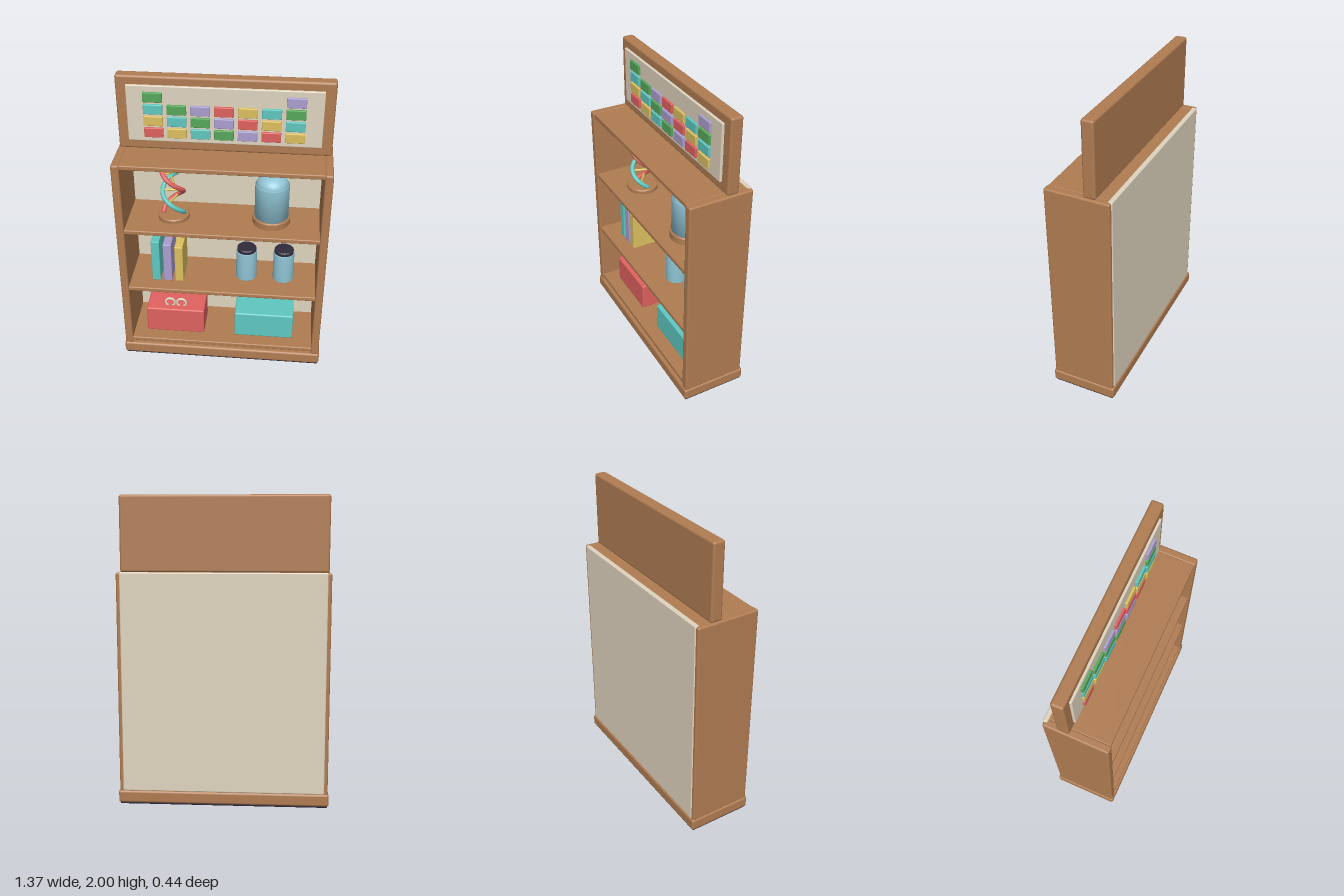
import * as THREE from 'three';
import { RoundedBoxGeometry } from 'three/addons/geometries/RoundedBoxGeometry.js';

const paint = (name, color) => {
  const m = new THREE.MeshStandardMaterial({ color });
  m.name = name;
  return m;
};

export function createModel() {
  const wood = paint('wood', 0xb07c52), cream = paint('cream', 0xe0d4bf);
  const red = paint('red', 0xe0625f), yellow = paint('yellow', 0xdcc060);
  const teal = paint('teal', 0x5fc8c0), green = paint('green', 0x57a85c);
  const purple = paint('purple', 0xab9ed0), glass = paint('pale blue', 0x90c4d4);
  const dark = paint('dark', 0x302b3c);

  const model = new THREE.Group();
  model.name = 'displayCabinet';

  const add = (name, geometry, material, parent = model) => {
    const mesh = new THREE.Mesh(geometry, material);
    mesh.name = name;
    parent.add(mesh);
    return mesh;
  };
  const group = (name, x, y, z) => {
    const g = new THREE.Group();
    g.name = name;
    g.position.set(x, y, z);
    model.add(g);
    return g;
  };
  // Rounded box given by its limits on each axis
  const block = (name, material, [x0, x1], [y0, y1], [z0, z1], r = 0.01) => {
    const mesh = add(name, new RoundedBoxGeometry(x1 - x0, y1 - y0, z1 - z0, 2, r), material);
    mesh.position.set((x0 + x1) / 2, (y0 + y1) / 2, (z0 + z1) / 2);
    return mesh;
  };
  // Round part from a profile of [radius, height] points
  const turned = (name, material, points, parent) =>
    add(name, new THREE.LatheGeometry(points.map(p => new THREE.Vector2(...p)), 32), material, parent);
  const disc = (name, material, r, h, parent) => {
    const b = 0.006;
    const mesh = add(name, new THREE.CylinderGeometry(r, r, h - b, 32), material, parent);
    mesh.position.y = (h - b) / 2;
    const rim = add(name + 'Bevel', new THREE.CylinderGeometry(r - b, r, b, 32), material, parent);
    rim.position.y = h - b / 2;
    return mesh;
  };

  // Cabinet carcass
  block('footPlate', dark, [-0.675, 0.675], [0, 0.03], [-0.21, 0.21], 0.005);
  block('plinth', wood, [-0.685, 0.685], [0.01, 0.092], [-0.22, 0.22], 0.015);
  for (const [name, s] of [['rightSide', -1], ['leftSide', 1]]) {
    const xs = [s * 0.625, s * 0.678].sort((a, b) => a - b);
    block(name, wood, xs, [0.085, 1.515], [-0.208, 0.212], 0.012);
  }
  block('backPanel', cream, [-0.655, 0.655], [0.09, 1.517], [-0.214, -0.182], 0.008);
  [0.105, 0.552, 1.01, 1.483].forEach((y, i) =>
    block('shelf' + (i + 1), wood, [-0.63, 0.63], [y, y + 0.031], [-0.19, 0.205], 0.007));

  // Header sign with coloured tiles
  block('signBoard', wood, [-0.668, 0.668], [1.512, 2], [-0.117, -0.038], 0.015);
  block('signPanel', cream, [-0.602, 0.602], [1.575, 1.945], [-0.05, -0.023], 0.006);
  const palette = [red, yellow, teal, green, purple];
  for (let row = 0; row < 4; row++) {
    for (let col = 0; col < 7; col++) {
      if (row === 3 && col > 0 && col < 6) continue;
      const x = -0.438 + col * 0.1455, y = 1.639 + row * 0.078;
      block('tile', palette[(row + col) % 5], [x - 0.06, x + 0.06], [y - 0.032, y + 0.032], [-0.028, -0.008], 0.005);
    }
  }

  // Double helix on a round stand
  const helix = group('helixModel', -0.33, 1.04, 0);
  disc('helixStand', wood, 0.103, 0.03, helix);
  const strandPoint = (t, phase) => {
    const a = phase + t * Math.PI * 2;
    return new THREE.Vector3(Math.cos(a) * 0.068, 0.035 + t * 0.33, Math.sin(a) * 0.068);
  };
  for (const [name, phase, material] of [['redStrand', Math.PI, red], ['tealStrand', 0, teal]]) {
    const points = [];
    for (let i = 0; i <= 16; i++) points.push(strandPoint(i / 16, -phase));
    const curve = new THREE.CatmullRomCurve3(points);
    add(name, new THREE.TubeGeometry(curve, 64, 0.015, 10), material, helix);
    for (const p of [points[0], points[16]]) {
      add(name + 'End', new THREE.SphereGeometry(0.015, 10, 8), material, helix).position.copy(p);
    }
  }
  for (let i = 0; i < 5; i++) {
    const t = 0.1 + i * 0.2;
    const curve = new THREE.LineCurve3(strandPoint(t, 0), strandPoint(t, Math.PI));
    add('rung', new THREE.TubeGeometry(curve, 1, 0.008, 8), yellow, helix);
  }

  // Bell jar
  const bell = group('bellJar', 0.31, 1.04, 0);
  disc('bellStand', wood, 0.122, 0.05, bell);
  turned('bellBody', glass, [[0, 0.05], [0.11, 0.05], [0.11, 0.278], [0.1, 0.283]], bell);
  const dome = [];
  for (let i = 0; i <= 10; i++) {
    const a = (i / 10) * Math.PI / 2;
    dome.push([Math.cos(a) * 0.102, 0.28 + Math.sin(a) * 0.07]);
  }
  turned('bellDome', glass, dome, bell);

  // Books
  [[-0.45, 0.897, teal], [-0.371, 0.877, purple], [-0.294, 0.861, yellow]].forEach(([x, top, material]) =>
    block('book', material, [x - 0.028, x + 0.028], [0.583, top], [-0.11, 0.11], 0.006));

  // Lidded jars
  for (const x of [0.154, 0.405]) {
    const jar = group('jar', x, 0.583, 0);
    turned('jarBody', glass, [[0, 0], [0.064, 0], [0.07, 0.006], [0.07, 0.208], [0.062, 0.218], [0, 0.218]], jar);
    const lid = group('jarLid', x, 0.8, 0);
    disc('lid', dark, 0.064, 0.026, lid);
  }

  // Storage boxes and rings on the lower shelf
  block('redBox', red, [-0.535, -0.13], [0.135, 0.332], [-0.12, 0.115], 0.01);
  block('tealBox', teal, [0.085, 0.492], [0.135, 0.332], [-0.12, 0.115], 0.01);
  for (const x of [-0.373, -0.294]) {
    add('ring', new THREE.TorusGeometry(0.032, 0.008, 10, 28), cream).position.set(x, 0.354, 0.06);
  }

  return model;
}
